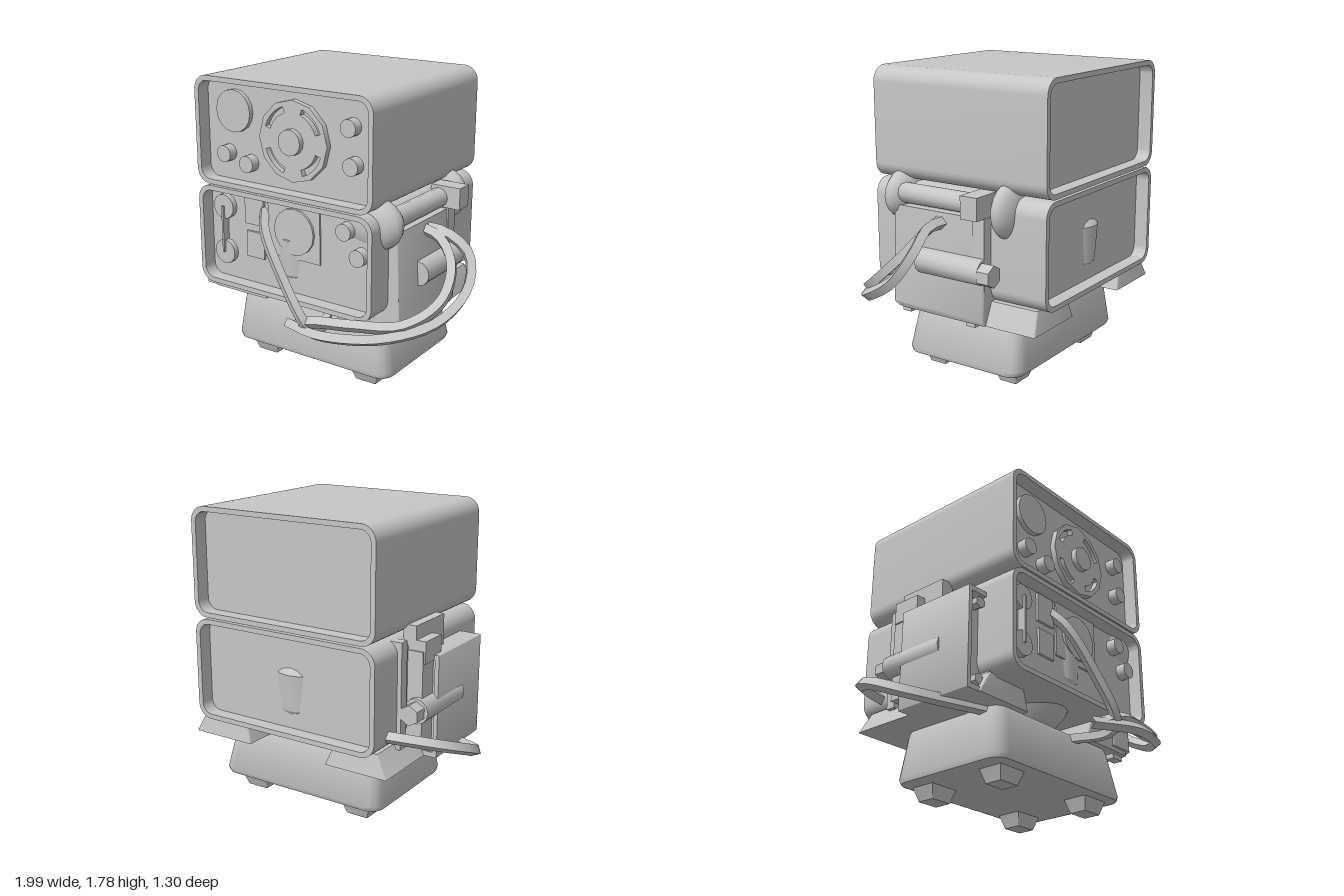
import * as THREE from 'three';
import { toCreasedNormals } from 'three/addons/utils/BufferGeometryUtils.js';

export function createModel() {
  const model = new THREE.Group();
  model.name = 'stackedMachine';
  const grey = new THREE.MeshStandardMaterial({ color: 0xc6c6c6 });
  grey.name = 'plainGrey';

  const add = (name, geo, x = 0, y = 0, z = 0) => {
    const m = new THREE.Mesh(geo, grey);
    m.name = name;
    m.position.set(x, y, z);
    model.add(m);
    return m;
  };
  // box given by its limits
  const box = (name, x0, x1, y0, y1, z0, z1) =>
    add(name, new THREE.BoxGeometry(x1 - x0, y1 - y0, z1 - z0), (x0 + x1) / 2, (y0 + y1) / 2, (z0 + z1) / 2);

  const roundRect = (Type, x0, x1, y0, y1, r) => {
    const s = new Type();
    s.moveTo(x0 + r, y0);
    s.lineTo(x1 - r, y0); s.absarc(x1 - r, y0 + r, r, -Math.PI / 2, 0);
    s.lineTo(x1, y1 - r); s.absarc(x1 - r, y1 - r, r, 0, Math.PI / 2);
    s.lineTo(x0 + r, y1); s.absarc(x0 + r, y1 - r, r, Math.PI / 2, Math.PI);
    s.lineTo(x0, y0 + r); s.absarc(x0 + r, y0 + r, r, Math.PI, Math.PI * 1.5);
    s.closePath();
    return s;
  };
  const extrude = (shape, depth) => toCreasedNormals(
    new THREE.ExtrudeGeometry(shape, { depth, bevelEnabled: false, curveSegments: 6 }), 0.6);

  // solid through horizontal rounded rectangles [y, x0, x1, z0, z1, r], bottom to top
  const loft = (rings) => {
    const pos = [], idx = [], n = 20;
    rings.forEach(([y, x0, x1, z0, z1, r]) => {
      const corners = [[x1 - r, z1 - r], [x0 + r, z1 - r], [x0 + r, z0 + r], [x1 - r, z0 + r]];
      corners.forEach(([cx, cz], k) => {
        for (let i = 0; i < 5; i++) {
          const a = (k + i / 4) * Math.PI / 2;
          pos.push(cx + r * Math.cos(a), y, cz + r * Math.sin(a));
        }
      });
    });
    for (let j = 0; j < rings.length - 1; j++) {
      for (let i = 0; i < n; i++) {
        const a = j * n + i, b = j * n + (i + 1) % n;
        idx.push(a, a + n, b, b, a + n, b + n);
      }
    }
    const top = (rings.length - 1) * n;
    for (let i = 1; i < n - 1; i++) idx.push(0, i, i + 1, top, top + i + 1, top + i);
    const g = new THREE.BufferGeometry();
    g.setAttribute('position', new THREE.Float32BufferAttribute(pos, 3));
    g.setIndex(idx);
    return toCreasedNormals(g, 0.7);
  };

  // two cabinets, open front and back with recessed panels
  const X0 = -0.635, X1 = 0.595, ZF = 0.515, ZB = -0.655, PANEL = 0.43;
  [['upperCabinet', 1.14, 1.785], ['lowerCabinet', 0.515, 1.13]].forEach(([name, y0, y1]) => {
    const shell = roundRect(THREE.Shape, X0, X1, y0, y1, 0.09);
    shell.holes.push(roundRect(THREE.Path, X0 + 0.03, X1 - 0.03, y0 + 0.03, y1 - 0.03, 0.065));
    add(name + 'Shell', extrude(shell, ZF - ZB), 0, 0, ZB);
    const core = roundRect(THREE.Shape, X0 + 0.02, X1 - 0.02, y0 + 0.02, y1 - 0.02, 0.07);
    add(name + 'Panels', extrude(core, PANEL + 0.57), 0, 0, -0.57);
  });

  // round controls on the front panels
  const knob = (name, x, y, r, h, sides = 16) => {
    const g = new THREE.CylinderGeometry(r, r, h, sides);
    g.rotateX(Math.PI / 2);
    return add(name, toCreasedNormals(g, 0.6), x, y, PANEL + h / 2);
  };
  knob('upperDial', -0.395, 1.585, 0.125, 0.03);
  [[-0.45, 1.33], [-0.285, 1.29], [0.42, 1.595], [0.435, 1.385], [0.39, 1.01], [0.48, 0.875]]
    .forEach(([x, y]) => knob('smallKnob', x, y, 0.05, 0.06));
  knob('lowerDial', 0.025, 0.93, 0.14, 0.025);
  [0.995, 0.71].forEach((y) => knob('sliderEnd', -0.488, y, 0.075, 0.035));
  box('sliderRail', -0.494, -0.482, 0.71, 1.0, PANEL, 0.48);
  box('upperSwitchPlate', -0.34, -0.2, 0.915, 1.09, PANEL, 0.445);
  box('lowerSwitchPlate', -0.33, -0.2, 0.71, 0.87, PANEL, 0.445);
  box('dialPlate', -0.17, 0.2, 0.76, 1.11, PANEL, 0.44);

  // twelve-sided speaker with four curved slots
  const disc = new THREE.Shape();
  for (let i = 0; i < 12; i++) {
    const a = i * Math.PI / 6;
    disc[i ? 'lineTo' : 'moveTo'](0.235 * Math.cos(a), 0.235 * Math.sin(a));
  }
  for (let k = 0; k < 4; k++) {
    const a = Math.PI / 4 + k * Math.PI / 2, p = new THREE.Path();
    p.absarc(0, 0, 0.2, a - 0.45, a + 0.45);
    p.absarc(0, 0, 0.165, a + 0.45, a - 0.45, true);
    p.closePath();
    disc.holes.push(p);
  }
  add('speakerDisc', extrude(disc, 0.035), 0.035, 1.465, PANEL);
  knob('speakerCentre', 0.035, 1.465, 0.075, 0.07);

  // barrel held inside the lower cabinet
  const barrel = new THREE.LatheGeometry([[0, 0.41], [0.6, 0.41], [0.8, 0.5], [0.97, 0.65], [1, 0.87], [0.94, 0.91], [0, 0.93]]
    .map(([x, y]) => new THREE.Vector2(x, y)), 32);
  const barrelMesh = add('barrel', toCreasedNormals(barrel, 0.7), -0.025, 0, -0.07);
  barrelMesh.scale.set(0.28, 1, 0.53);
  add('neck', new THREE.CylinderGeometry(0.16, 0.16, 0.06, 20), 0, 0.4, -0.07);

  // tapered base and its feet
  add('base', loft([
    [0.08, -0.5, 0.55, -0.43, 0.295, 0.06],
    [0.09, -0.53, 0.58, -0.455, 0.325, 0.08],
    [0.12, -0.54, 0.59, -0.47, 0.335, 0.09],
    [0.37, -0.51, 0.53, -0.435, 0.3, 0.08],
    [0.4, -0.5, 0.515, -0.425, 0.29, 0.07]]));
  [-0.35, 0.39].forEach((x) => [0.19, -0.32].forEach((z) => add('foot', loft([
    [0, x - 0.07, x + 0.07, z - 0.055, z + 0.055, 0.005],
    [0.1, x - 0.105, x + 0.105, z - 0.085, z + 0.085, 0.005]]))));

  // skirt blocks beneath the lower cabinet
  add('leftSkirt', loft([[0.4, 0.24, 0.65, -0.62, 0.33, 0.01], [0.53, 0.28, 0.59, -0.6, 0.34, 0.01]]));
  add('rightSkirt', loft([[0.4, -0.69, -0.29, -0.62, 0.33, 0.01], [0.53, -0.62, -0.34, -0.6, 0.34, 0.01]]));

  // left side: service panel, rail, canister and shoulder caps
  add('leftServicePanel', loft([
    [0.4, 0.5, 0.66, -0.3, 0.3, 0.01], [0.43, 0.5, 0.675, -0.3, 0.34, 0.01], [1.01, 0.5, 0.65, -0.3, 0.34, 0.01]]));
  [0.27, -0.19].forEach((z) => box('leftPanelTab', 0.55, 0.64, 0.37, 0.41, z - 0.03, z + 0.03));
  const rod = (name, x, y, z0, z1, r, sides = 12) => {
    const g = new THREE.CylinderGeometry(r, r, z1 - z0, sides);
    g.rotateX(Math.PI / 2);
    return add(name, toCreasedNormals(g, 0.7), x, y, (z0 + z1) / 2);
  };
  rod('leftTopRail', 0.6, 1.075, -0.2, 0.3, 0.06);
  box('leftRailBlock', 0.55, 0.74, 1.02, 1.15, -0.31, -0.2);
  box('leftRearStrap', 0.55, 0.66, 0.5, 1.1, -0.3, -0.22);
  rod('leftCanister', 0.66, 0.715, -0.3, 0.13, 0.075);
  rod('leftCanisterCap', 0.68, 0.71, -0.38, -0.3, 0.065, 6);
  [[0.35, 0.1, 0.2], [-0.385, 0.08, 0.16]].forEach(([z, rz, rx]) => {
    const g = new THREE.SphereGeometry(1, 16, 12);
    g.scale(rx, 0.16, rz);
    add('shoulderCap', g, 0.69 - rx, 1.05, z);
  });

  // right side: open-fronted case, blocks and canister
  const frame = roundRect(THREE.Shape, -0.77, -0.6, 0.4, 1.01, 0.005);
  frame.holes.push(roundRect(THREE.Path, -0.745, -0.61, 0.43, 0.98, 0.005));
  add('rightCase', extrude(frame, 0.52), 0, 0, -0.2);
  box('rightCaseBack', -0.75, -0.6, 0.42, 0.99, -0.19, 0.26);
  [0.48, 0.94].forEach((y) => rod('caseBolt', -0.67, y, 0.25, 0.31, 0.035, 6));
  box('rightRearBlock', -0.73, -0.6, 0.5, 1.05, -0.31, -0.19);
  box('rightUpperBlock', -0.68, -0.6, 1.0, 1.19, -0.3, 0.02);
  box('rightUpperStep', -0.74, -0.6, 0.98, 1.11, -0.3, -0.12);
  box('rightRearStrap', -0.66, -0.58, 0.5, 1.12, -0.42, -0.36);
  rod('rightCanister', -0.71, 0.715, -0.34, 0.1, 0.075);
  rod('rightCanisterCap', -0.71, 0.715, -0.42, -0.34, 0.06, 6);

  // cables with a square section
  const cable = (name, pts, r = 0.036) => {
    const curve = new THREE.CatmullRomCurve3(pts.map((p) => new THREE.Vector3(...p)));
    add(name, toCreasedNormals(new THREE.TubeGeometry(curve, 28, r, 4), 0.7));
  };
  cable('outerLoopCable', [[0.6, 0.95, -0.01], [0.78, 0.94, 0], [0.91, 0.84, -0.01], [0.96, 0.68, 0.09],
    [0.9, 0.54, 0.32], [0.68, 0.46, 0.52], [0.34, 0.42, 0.61], [0.03, 0.39, 0.52]]);
  cable('innerLoopCable', [[0.6, 0.96, 0.03], [0.74, 0.92, 0.03], [0.86, 0.8, 0.1], [0.89, 0.64, 0.27],
    [0.76, 0.53, 0.45], [0.5, 0.5, 0.54], [0.25, 0.47, 0.57], [0.1, 0.4, 0.53]]);
  cable('frontCable', [[-0.21, 1.02, 0.42], [-0.15, 0.92, 0.5], [0.02, 0.68, 0.56],
    [0.2, 0.43, 0.57], [0.22, 0.385, 0.5], [0.15, 0.38, 0.28]], 0.033);
  cable('rightLoopCable', [[-0.6, 0.6, -0.51], [-0.72, 0.6, -0.49], [-0.88, 0.57, -0.39], [-0.96, 0.5, -0.2],
    [-0.92, 0.42, -0.01], [-0.75, 0.39, 0.11], [-0.48, 0.39, 0.2]]);

  return model;
}
